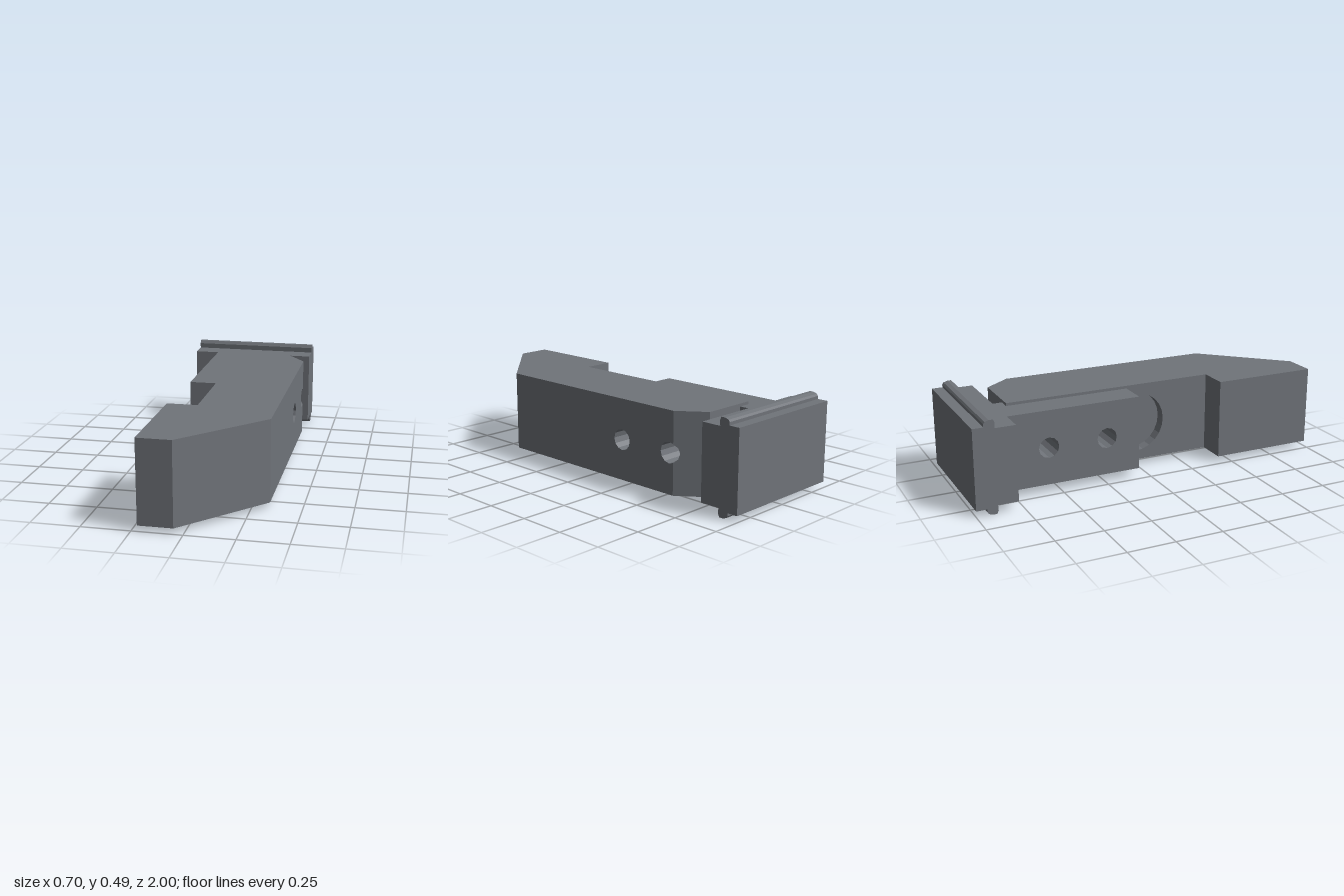
import * as THREE from 'three';
import { mergeGeometries } from 'three/addons/utils/BufferGeometryUtils.js';

const Y0 = 0.03, Y1 = 0.46, MID = 0.245;   // jaw height range and centre line
const HOLE_R = 0.055, HOLES = [-0.24, -0.5625];
const INNER_X = -0.06, OUTER_X = 0.34, CHAMFER_Z = -0.59, BACK_Z = -0.73, CHAMFER_X = 0.235;
const POCKET_R = 0.165, POCKET_DEPTH = 0.06;

const steel = new THREE.MeshStandardMaterial({ color: 0x70747a });
steel.name = 'grey steel';

// Points of a circle, from one angle to another in degrees
function arc(cu, cy, r, from, to, step) {
  const pts = [];
  const n = Math.round(Math.abs(to - from) / step);
  for (let i = 0; i <= n; i++) {
    const a = THREE.MathUtils.degToRad(from + (to - from) * i / n);
    pts.push(new THREE.Vector2(cu + r * Math.cos(a), cy + r * Math.sin(a)));
  }
  return pts;
}
const circle = (cu, cy, r, step = 30) => arc(cu, cy, r, 0, 360 - step, step);

function shapeOf(points, holes = []) {
  const s = new THREE.Shape(points.map(p => (Array.isArray(p) ? new THREE.Vector2(...p) : p)));
  s.holes = holes.map(h => new THREE.Path(h));
  return s;
}

function flat(geometry) {
  const g = geometry.index ? geometry.toNonIndexed() : geometry;
  g.computeVertexNormals();
  return g;
}

// Upright panel standing on the plan line from a to b, facing outwards
function wall(a, b, shape) {
  const dx = b[0] - a[0], dz = b[1] - a[1], len = Math.hypot(dx, dz);
  const s = shape || shapeOf([[0, Y0], [len, Y0], [len, Y1], [0, Y1]]);
  return flat(new THREE.ShapeGeometry(s).rotateY(Math.atan2(-dz, dx)).translate(a[0], 0, a[1]));
}

// Inward-facing bore along x
function bore(z, r, x0, x1, sides) {
  const g = new THREE.CylinderGeometry(r, r, x1 - x0, sides, 1, true);
  g.rotateZ(Math.PI / 2).scale(-1, 1, 1).translate((x0 + x1) / 2, MID, z);
  return g;
}

// Extrude a side profile (u = -z, y) across x
function across(shape, x0, x1) {
  const g = new THREE.ExtrudeGeometry(shape, { depth: x1 - x0, bevelEnabled: false });
  return flat(g.rotateY(Math.PI / 2).translate(x0, 0, 0));
}

function jawGeometry() {
  const plan = [[-0.22, 1], [-0.045, 1], [OUTER_X, 0.59], [OUTER_X, CHAMFER_Z],
    [CHAMFER_X, BACK_Z], [INNER_X, BACK_Z], [INNER_X, 0.43], [-0.22, 0.43]];
  const panels = {};

  // Outer side: one full hole, one cut by the chamfer edge
  const len = 0.59 - CHAMFER_Z;
  panels[2] = shapeOf([[0, Y0], [len, Y0],
    ...arc(0.59 - HOLES[1], MID, HOLE_R, 300, 60, 30), [len, Y1], [0, Y1]],
  [circle(0.59 - HOLES[0], MID, HOLE_R)]);

  // Chamfer: the rest of the cut hole, stretched along the slope
  const run = CHAMFER_Z - BACK_Z, slope = Math.hypot(run, OUTER_X - CHAMFER_X);
  const notch = arc(CHAMFER_Z - HOLES[1], MID, HOLE_R, 60, -60, 30);
  notch.forEach(p => { p.x *= slope / run; });
  panels[3] = shapeOf([[0, Y0], [slope, Y0], [slope, Y1], [0, Y1], ...notch]);

  // Inner side: both holes and the round pocket
  const inner = 0.43 - BACK_Z;
  panels[5] = shapeOf([[0, Y0], [inner, Y0], [inner, Y1], [0, Y1]], [
    ...HOLES.map(z => circle(z - BACK_Z, MID, HOLE_R)),
    circle(-BACK_Z, MID, POCKET_R, 15)]);

  const parts = plan.map((p, i) => wall(p, plan[(i + 1) % plan.length], panels[i]));

  // Top and bottom
  parts.push(flat(new THREE.ShapeGeometry(shapeOf(plan.map(([x, z]) => [x, -z])))
    .rotateX(-Math.PI / 2).translate(0, Y1, 0)));
  parts.push(flat(new THREE.ShapeGeometry(shapeOf(plan))
    .rotateX(Math.PI / 2).translate(0, Y0, 0)));

  // Bores, trimmed to the chamfer where they leave the jaw
  for (const z of HOLES) {
    const g = bore(z, HOLE_R, INNER_X, OUTER_X, 12), pos = g.attributes.position;
    for (let i = 0; i < pos.count; i++) {
      const over = CHAMFER_Z - pos.getZ(i);
      if (pos.getX(i) > 0 && over > 0) {
        pos.setX(i, OUTER_X - over * (OUTER_X - CHAMFER_X) / run);
      }
    }
    parts.push(flat(g));
  }

  // Blind pocket
  parts.push(flat(bore(0, POCKET_R, INNER_X, INNER_X + POCKET_DEPTH, 24)));
  parts.push(flat(new THREE.CircleGeometry(POCKET_R, 24)
    .rotateY(-Math.PI / 2).translate(INNER_X + POCKET_DEPTH, MID, 0)));
  return mergeGeometries(parts);
}

export function createModel() {
  const model = new THREE.Group();
  model.name = 'clampJaw';
  const add = (name, geometry) => {
    const mesh = new THREE.Mesh(geometry, steel);
    mesh.name = name;
    model.add(mesh);
  };

  add('jaw', jawGeometry());

  // Drilled tongue beside the jaw
  add('tongue', across(shapeOf(
    [[0.055, 0.045], [0.73, 0.045], [0.73, 0.445], [0.055, 0.445]],
    HOLES.map(z => circle(-z, MID, HOLE_R))), -0.215, INNER_X));

  // Neck joining tongue and head
  add('neck', new THREE.BoxGeometry(0.22, 0.4, 0.05).translate(-0.105, MID, -0.755));

  // Head plate with a bevelled ridge along its top and bottom
  const upper = [[0.78, 0.445], [0.888, 0.445], [0.886, 0.473], [0.894, 0.49],
    [0.915, 0.49], [0.936, 0.483], [0.943, 0.473], [0.943, 0.457], [1, 0.457]];
  const lower = upper.map(([u, y]) => [u, 2 * MID - y]).reverse();
  add('headPlate', across(shapeOf([...upper, ...lower]), -0.35, 0.35));

  return model;
}
